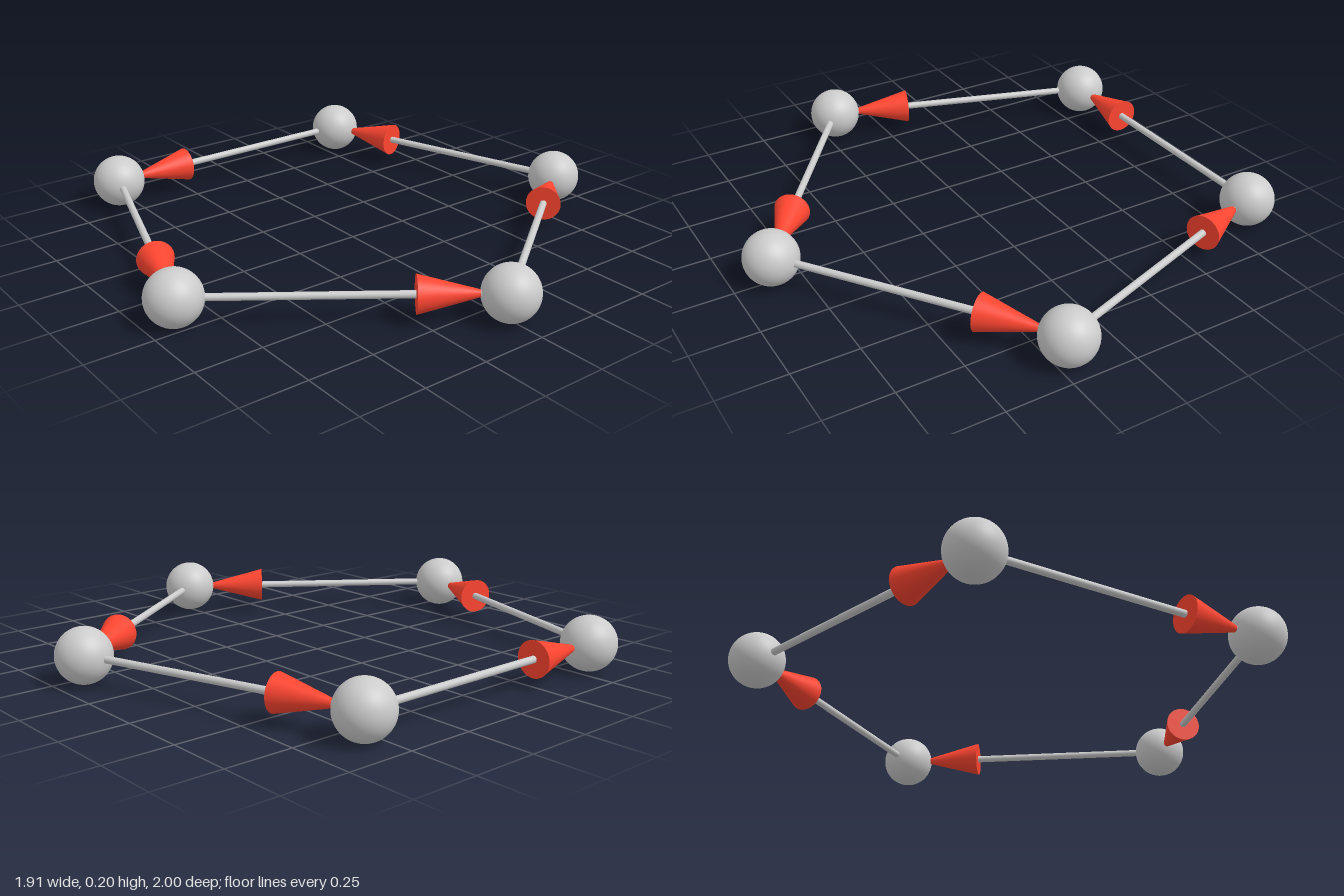
import * as THREE from 'three';

const COUNT = 5;
const BALL = 0.1025;   // node radius, also the height of the ring's plane
const RING = 0.943;    // distance of the nodes from the ring's centre
const SHIFT = -0.09;   // centres the pentagon on x
const ROD = 0.0135;
const ARROW = { radius: 0.068, base: 0.314, tip: 0.05 }; // distances from the target node

export function createModel() {
  const model = new THREE.Group();
  model.name = 'arrowRing';
  const grey = new THREE.MeshStandardMaterial({ color: 0xcccccc });
  const red = new THREE.MeshStandardMaterial({ color: 0xff4530 });

  const nodeAt = (i) => {
    const a = (i / COUNT) * Math.PI * 2;
    return new THREE.Vector3(RING * Math.cos(a) + SHIFT, BALL, -RING * Math.sin(a));
  };
  const up = new THREE.Vector3(0, 1, 0);
  const length = nodeAt(0).distanceTo(nodeAt(1));
  const arrowLength = ARROW.base - ARROW.tip;

  const ballGeometry = new THREE.SphereGeometry(BALL, 48, 32);
  const rodGeometry = new THREE.CylinderGeometry(ROD, ROD, length, 24);
  const arrowGeometry = new THREE.ConeGeometry(ARROW.radius, arrowLength, 48);

  for (let i = 0; i < COUNT; i++) {
    const start = nodeAt(i);
    const end = nodeAt(i + 1);
    const direction = end.clone().sub(start).normalize();

    // Ball at each corner
    const ball = new THREE.Mesh(ballGeometry, grey);
    ball.name = `node${i + 1}`;
    ball.position.copy(start);
    model.add(ball);

    // Rod and arrowhead leading to the next ball
    const link = new THREE.Group();
    link.name = `link${i + 1}`;
    link.position.copy(start);
    link.quaternion.setFromUnitVectors(up, direction);

    const rod = new THREE.Mesh(rodGeometry, grey);
    rod.name = 'rod';
    rod.position.y = length / 2;

    const arrow = new THREE.Mesh(arrowGeometry, red);
    arrow.name = 'arrowhead';
    arrow.position.y = length - ARROW.base + arrowLength / 2;

    link.add(rod, arrow);
    model.add(link);
  }
  return model;
}
